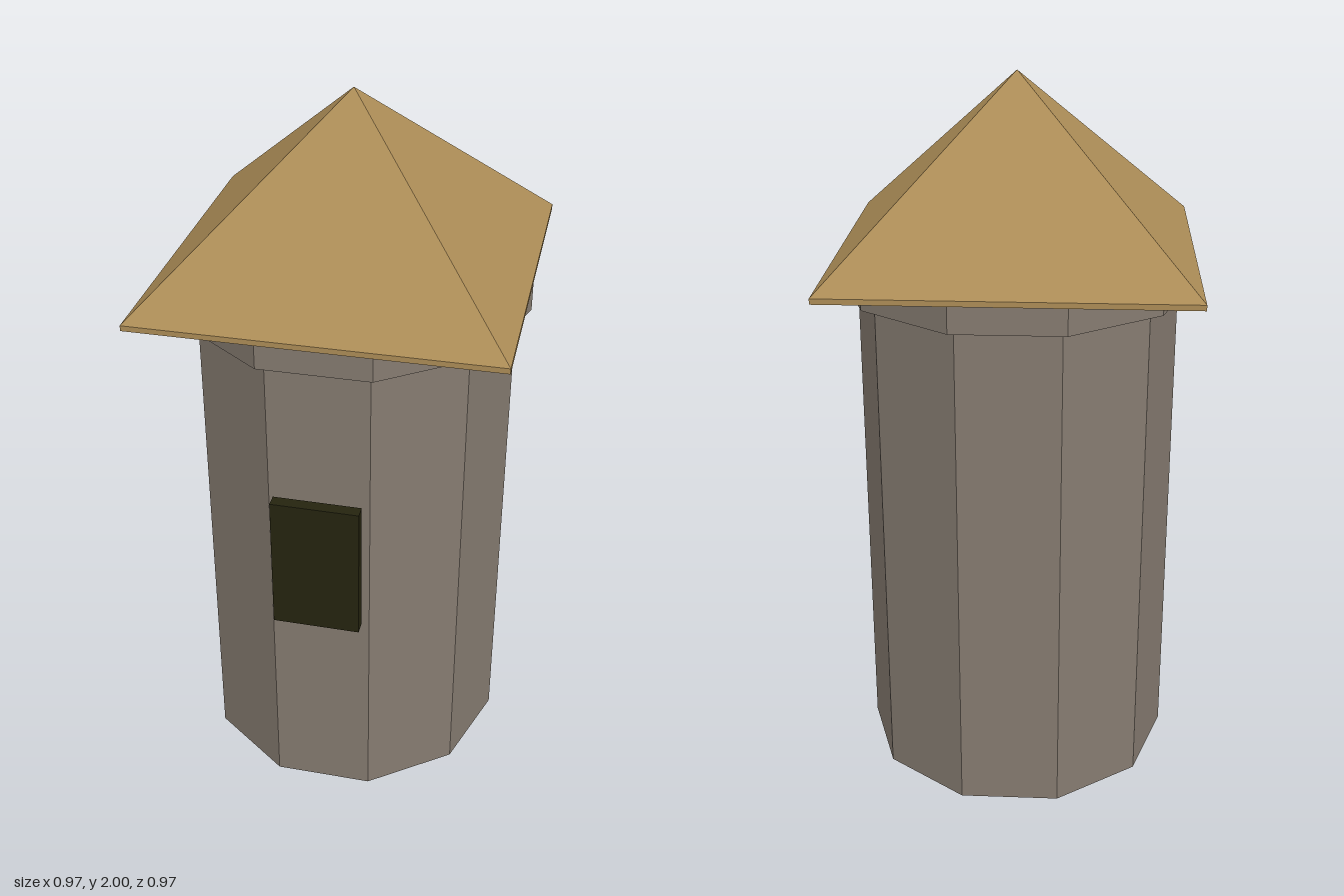
import * as THREE from 'three';

export function createModel() {
  const model = new THREE.Group();
  const stone = new THREE.MeshStandardMaterial({ name: 'stone', color: 0x857b70, flatShading: true, side: THREE.DoubleSide });
  const thatch = new THREE.MeshStandardMaterial({ name: 'thatch', color: 0xad8d57, flatShading: true });
  const dark = new THREE.MeshStandardMaterial({ name: 'darkOpening', color: 0x25240f, flatShading: true });

  const add = (name, geometry, material, x, y, z) => {
    const mesh = new THREE.Mesh(geometry, material);
    mesh.name = name;
    mesh.position.set(x, y, z);
    model.add(mesh);
  };

  // Ten-sided prism with corners on the x axis
  const decagon = (radius, height, open) =>
    new THREE.CylinderGeometry(radius, radius, height, 10, 1, open).rotateY(Math.PI / 2);

  // Hollow tower wall, open underneath, and the collar under the eaves
  add('towerWall', decagon(0.445, 1.43, true), stone, 0, 0.715, 0);
  add('collar', decagon(0.485, 0.08, false), stone, 0, 1.465, 0);

  // Square roof: thin eaves slab and four-sided pyramid
  const half = 0.485;
  add('eaves', new THREE.BoxGeometry(half * 2, 0.015, half * 2), thatch, 0, 1.5125, 0);
  const pyramid = new THREE.ConeGeometry(half * Math.SQRT2, 0.48, 4, 1, true).rotateY(Math.PI / 4);
  add('roof', pyramid, thatch, 0, 1.76, 0);

  // Window panel standing just off the front wall
  add('window', new THREE.BoxGeometry(0.24, 0.395, 0.035), dark, 0, 0.8325, 0.4625);

  return model;
}
